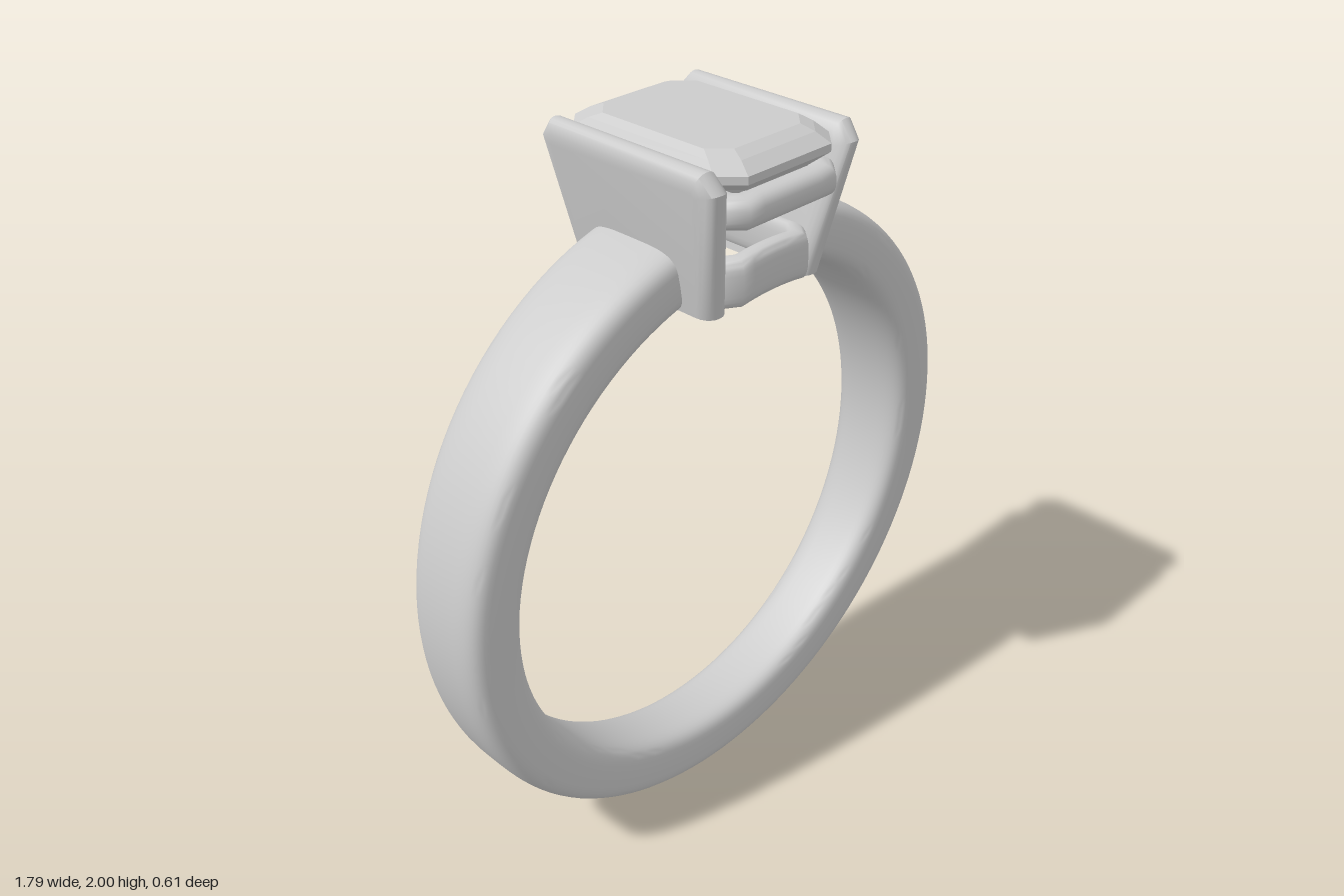
import * as THREE from 'three';
import { toCreasedNormals } from 'three/addons/utils/BufferGeometryUtils.js';

const material = new THREE.MeshStandardMaterial({ color: 0xcccccc });

function part(name, geometry) {
  const mesh = new THREE.Mesh(geometry, material);
  mesh.name = name;
  return mesh;
}

// Joins rings of equal point count into a surface; each ring is a closed loop,
// anticlockwise when seen from the end of the path.
function loft(rings, { closed = false, caps = false, crease = 0.9 } = {}) {
  const pos = [];
  const tri = (a, b, c) => pos.push(...a, ...b, ...c);
  const n = rings[0].length;
  const last = closed ? rings.length : rings.length - 1;
  for (let i = 0; i < last; i++) {
    const A = rings[i], B = rings[(i + 1) % rings.length];
    for (let j = 0; j < n; j++) {
      const k = (j + 1) % n;
      tri(A[j], A[k], B[k]);
      tri(A[j], B[k], B[j]);
    }
  }
  if (caps) {
    const E = rings[rings.length - 1], S = rings[0];
    for (let j = 1; j < n - 1; j++) {
      tri(S[0], S[j + 1], S[j]);
      tri(E[0], E[j], E[j + 1]);
    }
  }
  const g = new THREE.BufferGeometry();
  g.setAttribute('position', new THREE.Float32BufferAttribute(pos, 3));
  return toCreasedNormals(g, crease);
}

// Rectangle with cut corners in the xz plane, with extra points along the front and back.
function octagon(hx, hz, cut, y, bend = 0) {
  const pts = [];
  const add = (x, z) => pts.push([x, y - bend * x * x, z]);
  for (const s of [1, -1]) {
    add(s * hx, -s * (hz - cut));
    add(s * hx, s * (hz - cut));
    for (let i = 0; i <= 6; i++) add(s * (hx - cut) * (1 - i / 3), s * hz);
  }
  return pts.reverse();
}

// Rounded frame swept around a cut-corner rectangle.
function frame(hx, hz, cut, y, halfWidth, halfHeight, power, bend) {
  const rings = [];
  const soft = v => Math.sign(v) * Math.abs(v) ** power;
  for (let i = 0; i < 24; i++) {
    const a = i / 24 * Math.PI * 2;
    const d = halfWidth * soft(Math.cos(a));
    rings.push(octagon(hx + d, hz + d, cut + 0.586 * d, y + halfHeight * soft(Math.sin(a)), bend));
  }
  return loft(rings, { closed: true });
}

// Open band, softly squared in section and wider towards the setting.
function bandGeometry() {
  const rings = [], centre = 0.895, radius = 0.8075, half = 0.0855, gap = 0.23;
  const soft = v => Math.sign(v) * Math.sqrt(Math.abs(v));
  for (let i = 0; i <= 120; i++) {
    const a = gap + (Math.PI * 2 - gap * 2) * i / 120;
    const width = 0.098 + 0.03 * (centre + radius * Math.cos(a));
    const ring = [];
    for (let j = 0; j < 40; j++) {
      const t = j / 40 * Math.PI * 2;
      const r = radius + half * soft(Math.sin(t));
      ring.push([r * Math.sin(a), centre + r * Math.cos(a), -width * soft(Math.cos(t))]);
    }
    rings.push(ring);
  }
  return loft(rings, { caps: true });
}

// Tapered plate with rounded, narrowing edges, leaning outwards.
function plateGeometry(side) {
  const shape = new THREE.Shape([
    [-0.187, 1.6], [0.187, 1.6], [0.239, 1.93], [0.229, 1.942], [-0.229, 1.942], [-0.239, 1.93],
  ].map(p => new THREE.Vector2(...p)));
  const g = new THREE.ExtrudeGeometry(shape, {
    depth: 0.008, bevelSize: 0.048, bevelThickness: 0.034, bevelSegments: 5,
  });
  g.translate(0, 0, -0.004).rotateY(Math.PI / 2);
  const p = g.attributes.position;
  for (let i = 0; i < p.count; i++) {
    // flat foot, then the lean
    const y = Math.max(p.getY(i), 1.6);
    p.setY(i, y);
    p.setX(i, p.getX(i) + side * (0.168 + 0.175 * (y - 1.6)));
  }
  return toCreasedNormals(g, 0.7);
}

export function createModel() {
  const model = new THREE.Group();
  model.name = 'ring';
  model.add(part('band', bandGeometry()));

  const setting = new THREE.Group();
  setting.name = 'setting';
  model.add(setting);
  setting.add(part('leftPlate', plateGeometry(1)));
  setting.add(part('rightPlate', plateGeometry(-1)));
  setting.add(part('upperRail', frame(0.157, 0.264, 0.025, 1.87, 0.039, 0.04, 0.8, 0)));
  setting.add(part('lowerRail', frame(0.157, 0.225, 0.055, 1.681, 0.03, 0.062, 0.6, 0.65)));

  // Step-cut stone: keel, pavilion, girdle, crown and table
  const steps = [
    [0.006, 0.1, 0.004, 1.75],
    [0.11, 0.205, 0.035, 1.835],
    [0.155, 0.25, 0.05, 1.91],
    [0.197, 0.287, 0.055, 1.942],
    [0.197, 0.287, 0.055, 1.962],
    [0.178, 0.25, 0.052, 1.986],
    [0.16, 0.215, 0.048, 2.0],
  ];
  setting.add(part('stone', loft(steps.map(s => octagon(...s)), { caps: true, crease: 0.05 })));
  return model;
}
